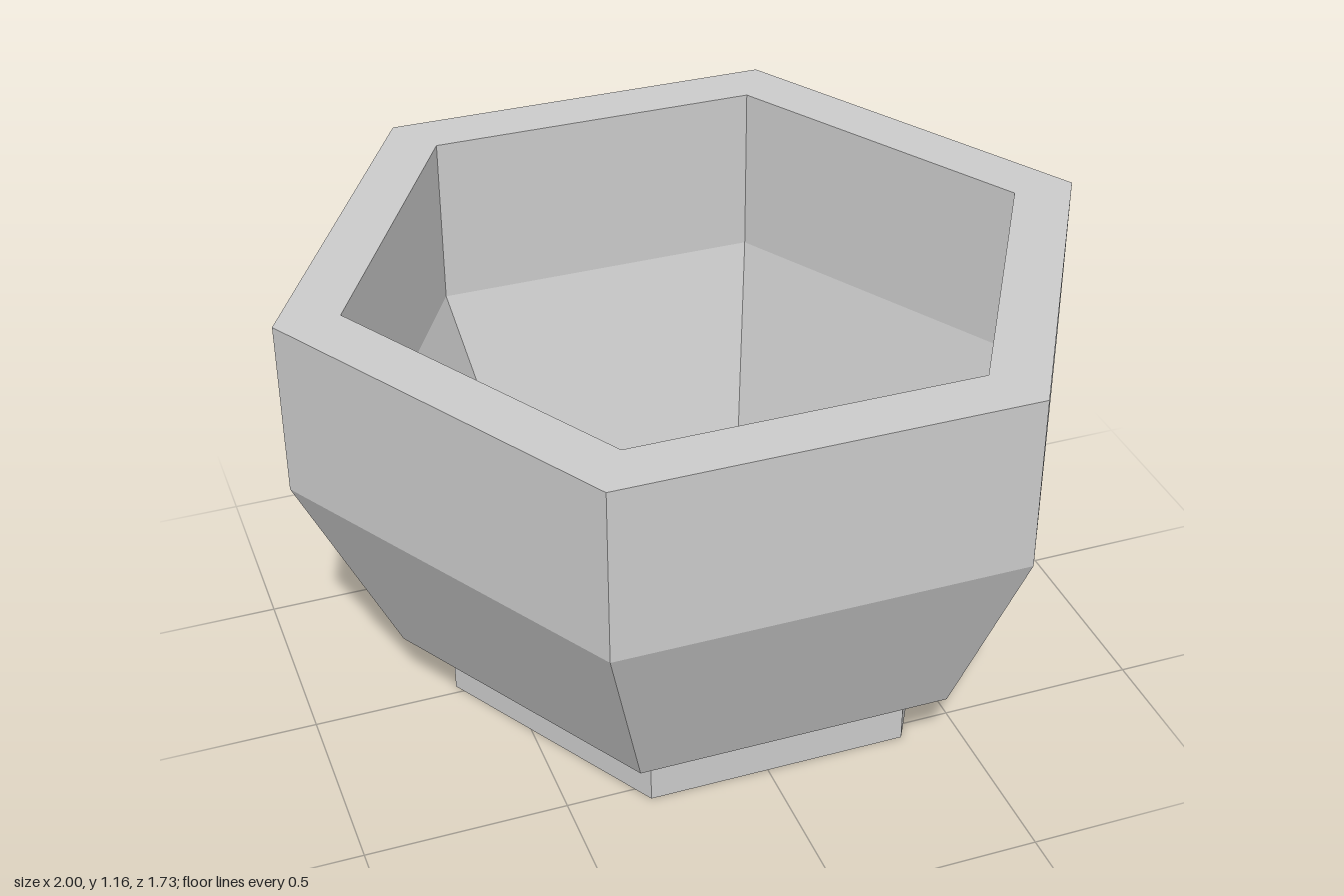
import * as THREE from 'three';

const SIDES = 6;

// Corner i of a hexagonal ring [radius, y, x offset, z offset]
function corner([r, y, cx = 0, cz = 0], i) {
  const a = (i % SIDES) * Math.PI * 2 / SIDES;
  return [cx + r * Math.cos(a), y, cz + r * Math.sin(a)];
}

// Skin consecutive rings with flat quads; a ring of radius 0 closes to a point
function loft(name, rings) {
  const pos = [];
  for (let k = 0; k < rings.length - 1; k++) {
    const lo = rings[k], hi = rings[k + 1];
    for (let i = 0; i < SIDES; i++) {
      const a = corner(lo, i), b = corner(lo, i + 1);
      const c = corner(hi, i + 1), d = corner(hi, i);
      if (hi[0] > 0) pos.push(...a, ...d, ...c);
      if (lo[0] > 0) pos.push(...a, ...c, ...b);
    }
  }
  const geo = new THREE.BufferGeometry();
  geo.setAttribute('position', new THREE.Float32BufferAttribute(pos, 3));
  geo.computeVertexNormals();
  const mesh = new THREE.Mesh(geo, new THREE.MeshStandardMaterial({ color: 0xcccccc, flatShading: true }));
  mesh.name = name;
  return mesh;
}

export function createModel() {
  const group = new THREE.Group();
  group.name = 'hexagonalPot';

  // The base sits slightly off the centre of the rim
  const ox = 0.027, oz = -0.024;
  const footR = 0.658, footTop = 0.19, bend = 0.72, rim = 1.163;

  // Solid foot, from the middle of its underside upwards
  group.add(loft('foot', [
    [0, 0, ox, oz],
    [footR, 0, ox, oz],
    [footR, footTop, ox, oz],
  ]));

  // Hollow bowl: underside, outer wall, rim, inner wall, floor
  group.add(loft('bowl', [
    [footR, footTop, ox, oz],
    [0.783, footTop, ox, oz],
    [1, bend],
    [1, rim],
    [0.843, rim],
    [0.843, bend],
    [footR, footTop, ox, oz],
    [0, footTop, ox, oz],
  ]));

  return group;
}
